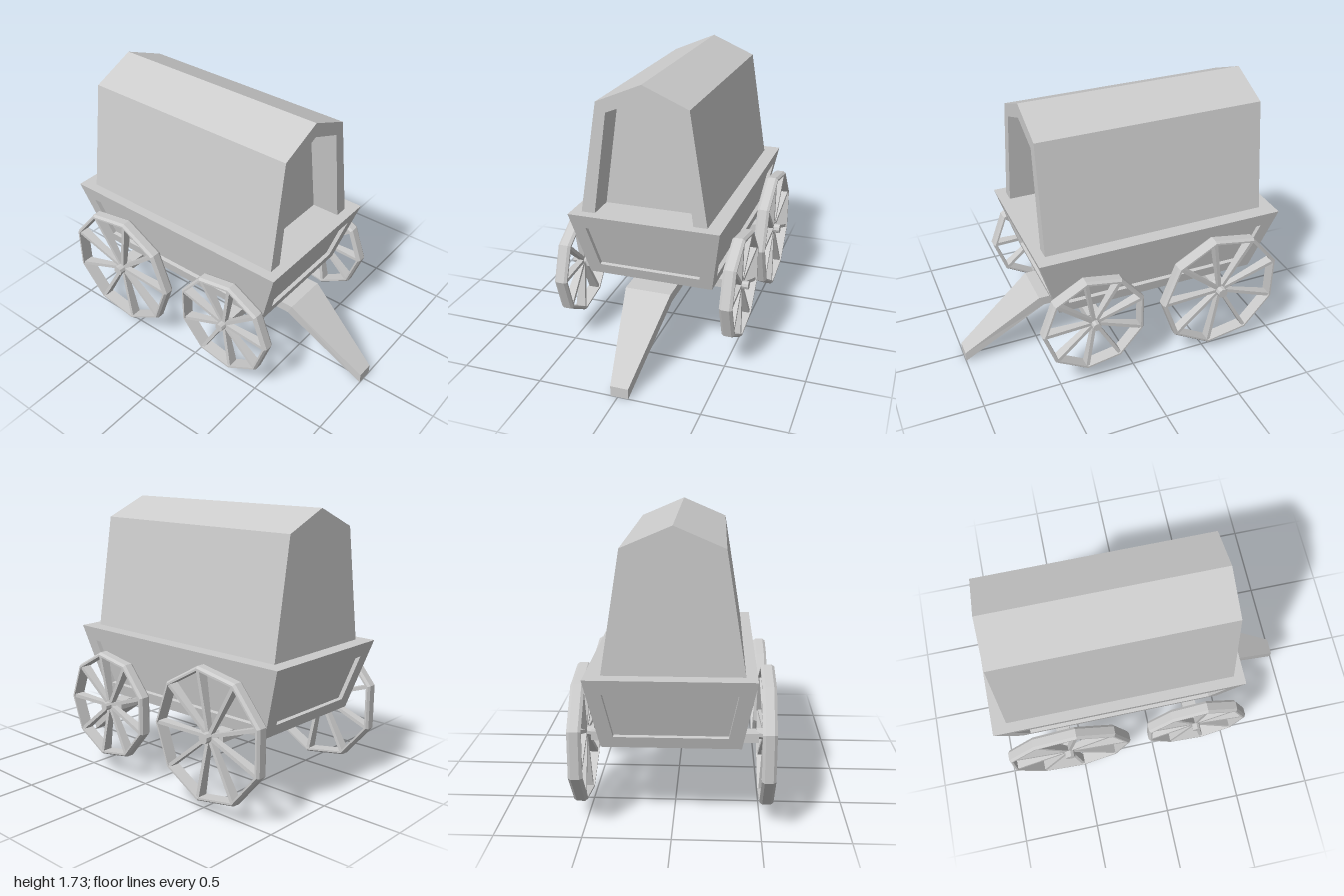
import * as THREE from 'three';

const material = new THREE.MeshStandardMaterial({ color: 0xcccccc, flatShading: true });

function add(parent, name, geometry, x = 0, y = 0, z = 0) {
  const mesh = new THREE.Mesh(geometry, material);
  mesh.name = name;
  mesh.position.set(x, y, z);
  parent.add(mesh);
  return mesh;
}

// Joins rings of equal length; rings run counter-clockwise seen from the last one's open side
function loft(rings, capStart = true, capEnd = true) {
  const n = rings[0].length;
  const index = [];
  for (let r = 0; r < rings.length - 1; r++) {
    for (let j = 0; j < n; j++) {
      const k = (j + 1) % n;
      const a = r * n + j, b = r * n + k;
      index.push(a, b, b + n, a, b + n, a + n);
    }
  }
  const last = (rings.length - 1) * n;
  for (let j = 1; j < n - 1; j++) {
    if (capStart) index.push(0, j + 1, j);
    if (capEnd) index.push(last, last + j, last + j + 1);
  }
  const geometry = new THREE.BufferGeometry();
  geometry.setAttribute('position', new THREE.Float32BufferAttribute(rings.flat(2), 3));
  geometry.setIndex(index);
  geometry.computeVertexNormals();
  return geometry;
}

// Flared wagon box with a sunken panel on each side
function createBody() {
  const body = new THREE.Group();
  body.name = 'wagonBox';
  body.position.set(0.007, 0, -0.2025);
  const low = 0.49, high = 0.92;
  const halfWidth = (y) => 0.393 + 0.077 * (y - low) / (high - low);
  const halfDepth = (y) => 0.6625 + 0.135 * (y - low) / (high - low);

  const names = ['frontPanel', 'leftPanel', 'backPanel', 'rightPanel'];
  names.forEach((name, i) => {
    const [across, out] = i % 2 ? [halfDepth, halfWidth] : [halfWidth, halfDepth];
    const ring = (y0, y1, margin, sink, lift) =>
      [[-1, y0], [1, y0], [1, y1], [-1, y1]].map(([s, y]) =>
        [s * (across(y) - margin), y + lift, out(y) - sink]);
    const panel = add(body, name, loft([
      ring(low, high, 0, 0, 0),
      ring(0.558, 0.832, 0.085, 0, 0),
      ring(0.558, 0.832, 0.085, 0.025, 0.004),
    ], false));
    panel.rotation.y = i * Math.PI / 2;
  });

  const top = add(body, 'boxTop', new THREE.PlaneGeometry(2 * halfWidth(high), 2 * halfDepth(high)), 0, high, 0);
  top.rotation.x = -Math.PI / 2;
  const floor = add(body, 'boxFloor', new THREE.PlaneGeometry(2 * halfWidth(low), 2 * halfDepth(low)), 0, low, 0);
  floor.rotation.x = Math.PI / 2;
  return body;
}

// Five-sided cover with a recessed opening at the front
function createCover() {
  const section = (foot, eave, eaveY, ridgeY, z) =>
    [[-foot, 0.92, z], [foot, 0.92, z], [eave, eaveY, z], [0, ridgeY, z], [-eave, eaveY, z]];
  return loft([
    section(0.393, 0.281, 1.61, 1.73, -0.91),
    section(0.393, 0.281, 1.61, 1.73, 0.53),
    section(0.308, 0.22, 1.55, 1.64, 0.53),
    section(0.308, 0.22, 1.55, 1.64, 0.35),
  ]);
}

// Flat beam under the box that bends down into a tapered tongue
function createTongue() {
  const section = (half, y0, y1, z0, z1) =>
    [[-half, y0, z0], [half, y0, z0], [half, y1, z1], [-half, y1, z1]];
  return loft([
    section(0.145, 0.38, 0.44, -0.58, -0.58),
    section(0.145, 0.38, 0.44, 0.48, 0.51),
    section(0.055, 0, 0.065, 1, 1),
  ]);
}

// Nine-sided wheel with its axle along x
function createWheel(radius, hubRadius) {
  const wheel = new THREE.Group();
  const sides = 9;
  const inner = radius - 0.024;
  const profile = [
    [inner, -0.04], [radius - 0.012, -0.04], [radius, -0.024], [radius, 0.024],
    [radius - 0.012, 0.04], [inner, 0.04], [inner, -0.04],
  ].map(([r, h]) => new THREE.Vector2(r, h));
  add(wheel, 'rim', new THREE.LatheGeometry(profile, sides)).rotation.z = -Math.PI / 2;
  add(wheel, 'hub', new THREE.CylinderGeometry(hubRadius, hubRadius, 0.116, sides)).rotation.z = -Math.PI / 2;

  // Spokes widen from hub to rim
  const length = inner + 0.004;
  const spokeGeometry = new THREE.BoxGeometry(0.064, length, 0.022).translate(0, length / 2, 0);
  const p = spokeGeometry.attributes.position;
  for (let i = 0; i < p.count; i++) {
    if (p.getY(i) < length / 2) p.setX(i, p.getX(i) * 0.5);
  }
  for (let i = 0; i < sides; i++) {
    add(wheel, 'spoke', spokeGeometry).rotation.x = Math.PI / 2 + i * 2 * Math.PI / sides;
  }
  return wheel;
}

export function createModel() {
  const wagon = new THREE.Group();
  wagon.name = 'coveredWagon';
  wagon.add(createBody());
  add(wagon, 'cover', createCover(), -0.007);
  add(wagon, 'tongue', createTongue(), 0.01);

  // Axles with a wheel at each end
  const axles = [
    { name: 'front', z: 0.28, y: 0.46, x: 0.525, radius: 0.342, hub: 0.026 },
    { name: 'rear', z: -0.577, y: 0.47, x: 0.535, radius: 0.409, hub: 0.032 },
  ];
  for (const a of axles) {
    add(wagon, a.name + 'Axle', new THREE.BoxGeometry(0.98, 0.056, 0.09), 0, 0.462, a.z - 0.015);
    for (const side of [1, -1]) {
      const wheel = createWheel(a.radius, a.hub);
      wheel.name = a.name + (side > 0 ? 'Left' : 'Right') + 'Wheel';
      wheel.position.set(side * a.x, a.y, a.z);
      wagon.add(wheel);
    }
  }
  return wagon;
}
